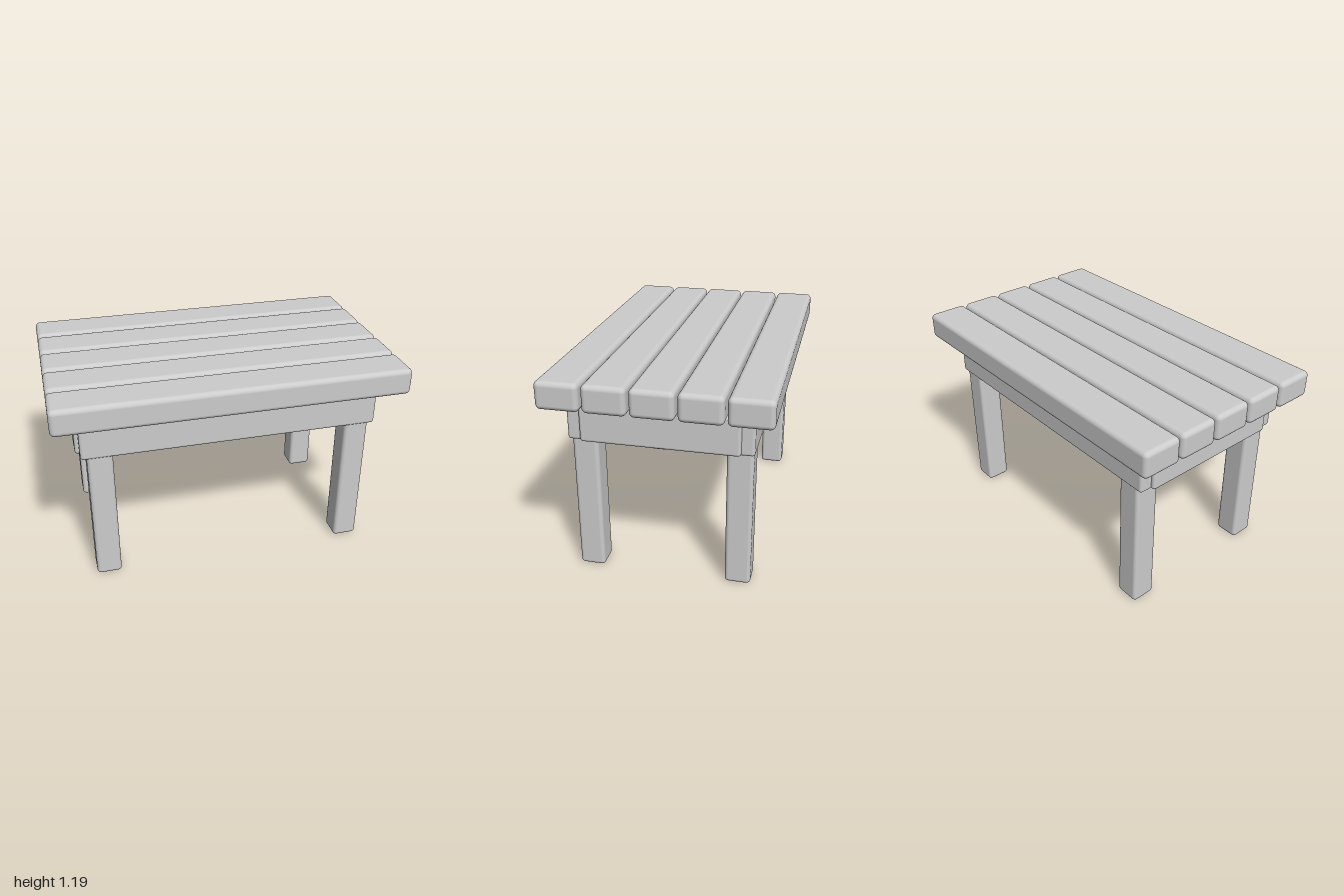
import * as THREE from 'three';
import { RoundedBoxGeometry } from 'three/addons/geometries/RoundedBoxGeometry.js';

export function createModel() {
  const group = new THREE.Group();
  group.name = 'slattedTable';
  const wood = new THREE.MeshStandardMaterial({ color: 0xcccccc });
  wood.name = 'plain grey';

  // Softly rounded beam spanning the given limits on each axis
  function beam(name, [x0, x1], [y0, y1], [z0, z1], radius) {
    const geometry = new RoundedBoxGeometry(x1 - x0, y1 - y0, z1 - z0, 4, radius);
    const mesh = new THREE.Mesh(geometry, wood);
    mesh.name = name;
    mesh.position.set((x0 + x1) / 2, (y0 + y1) / 2, (z0 + z1) / 2);
    group.add(mesh);
  }

  // Five table top planks
  for (let i = -2; i <= 2; i++) {
    const z = i * 0.2475;
    beam('topPlank', [-1, 1], [1.031, 1.186], [z - 0.117, z + 0.117], 0.028);
  }

  // Long aprons, front and back
  const apronY = [0.81, 1.03];
  beam('frontApron', [-0.855, 0.85], apronY, [0.4, 0.505], 0.017);
  beam('backApron', [-0.855, 0.85], apronY, [-0.5, -0.395], 0.017);

  // Short end aprons
  beam('leftApron', [0.763, 0.87], apronY, [-0.43, 0.432], 0.017);
  beam('rightApron', [-0.878, -0.772], apronY, [-0.43, 0.432], 0.017);

  // Four legs, just reaching into the planks
  for (const x of [-0.75, 0.746]) {
    for (const z of [-0.42, 0.423]) {
      beam('leg', [x - 0.072, x + 0.072], [0, 1.05], [z - 0.072, z + 0.072], 0.022);
    }
  }
  return group;
}
